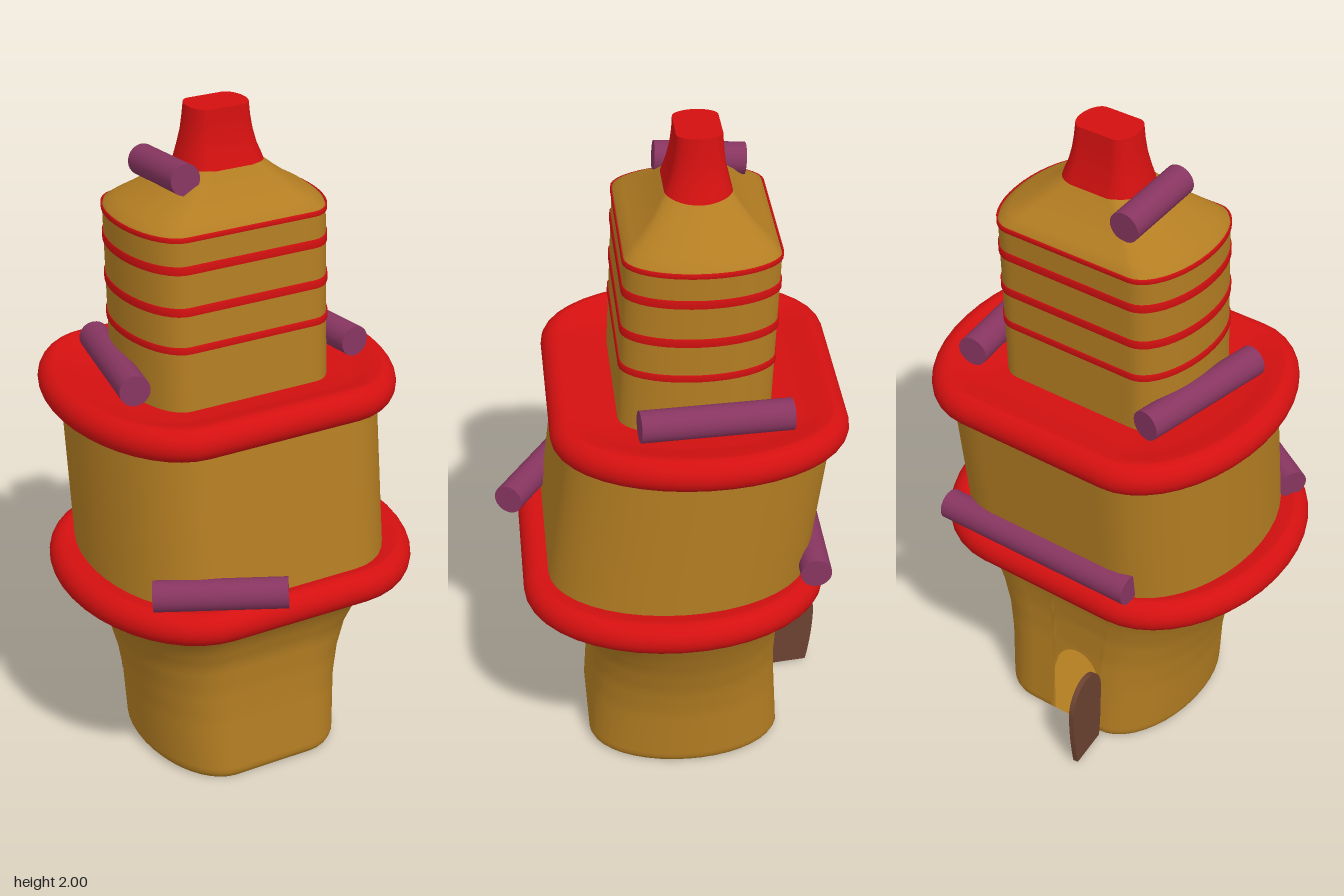
import * as THREE from 'three';

const mat = (color) => new THREE.MeshStandardMaterial({ color, side: THREE.DoubleSide });
const GOLD = mat(0xb37d22), RED = mat(0xd41010), PURPLE = mat(0x873560), BROWN = mat(0x6b4230);

// Section: [y, xMin, xMax, zFront, zBack, half length of the flat front and back]
// Column c: 0-1 right arc, 1-2 flat back, 2-3 left arc, 3-4 flat front
const COLUMNS = [];
for (let side = 0; side < 4; side++) for (let i = 0; i < 20; i++) COLUMNS.push(side + i / 20);

function pointOn([y, x0, x1, zf, zb, a], c) {
  const cx = (x0 + x1) / 2, cz = (zf + zb) / 2;
  const rx = (x1 - x0) / 2 - a, rz = (zf - zb) / 2;
  const side = Math.floor(c) % 4, f = c - Math.floor(c);
  if (side === 1) return [cx + a - 2 * a * f, y, zb];
  if (side === 3) return [cx - a + 2 * a * f, y, zf];
  const phi = Math.PI * (f - 0.5), s = side === 0 ? 1 : -1;
  return [cx + s * (a + rx * Math.cos(phi)), y, cz - s * rz * Math.sin(phi)];
}

const inset = ([y, x0, x1, zf, zb, a], d, newY = y) =>
  [newY, x0 + d, x1 - d, zf - d, zb + d, Math.max(0.01, Math.min(a, (x1 - x0) / 2 - d - 0.01))];

// Section at height y, interpolated between the listed ones
function sectionAt(list, y) {
  let i = 0;
  while (i < list.length - 2 && y > list[i + 1][0]) i++;
  const t = (y - list[i][0]) / (list[i + 1][0] - list[i][0]);
  return list[i].map((v, k) => v + (list[i + 1][k] - v) * t);
}

// Skin over rows of closed loops; pointAt(row, column) gives each vertex
function skin(name, material, rowCount, columns, pointAt) {
  const pos = [], idx = [], n = columns.length;
  for (let r = 0; r < rowCount; r++) for (const c of columns) pos.push(...pointAt(r, c));
  for (let r = 0; r < rowCount - 1; r++) {
    for (let j = 0; j < n; j++) {
      const p = r * n + j, q = r * n + (j + 1) % n;
      idx.push(p, q, q + n, p, q + n, p + n);
    }
  }
  const g = new THREE.BufferGeometry();
  g.setAttribute('position', new THREE.Float32BufferAttribute(pos, 3));
  g.setIndex(idx);
  g.computeVertexNormals();
  const m = new THREE.Mesh(g, material);
  m.name = name;
  return m;
}

const loft = (name, material, rows) =>
  skin(name, material, rows.length, COLUMNS, (r, c) => pointOn(rows[r], c));

// Flat end plate closing a section, facing up or down
function plate(name, material, s, up) {
  const center = [s[0], (s[1] + s[2]) / 2, (s[1] + s[2]) / 2, (s[3] + s[4]) / 2, (s[3] + s[4]) / 2, 0];
  return loft(name, material, up ? [s, center] : [center, s]);
}

// Cushion-like ledge with a round rim, dipping slightly toward the middle
function ledge(name, outline) {
  const rows = [], r = 0.05, y = outline[0];
  rows.push(inset(outline, 0.14, y - 0.03));
  for (let i = 0; i <= 16; i++) {
    const t = -Math.PI / 2 + Math.PI * i / 16;
    rows.push(inset(outline, r * (1 - Math.cos(t)), y + r * Math.sin(t)));
  }
  rows.push(inset(outline, 0.09, y + 0.04), inset(outline, 0.14, y + 0.025), inset(outline, 0.24, y + 0.02));
  return loft(name, RED, rows);
}

function log(name, from, to) {
  const a = new THREE.Vector3(...from), b = new THREE.Vector3(...to);
  const dir = b.clone().sub(a);
  const m = new THREE.Mesh(new THREE.CylinderGeometry(0.045, 0.045, dir.length(), 28), PURPLE);
  m.position.copy(a).add(b).multiplyScalar(0.5);
  m.quaternion.setFromUnitVectors(new THREE.Vector3(0, 1, 0), dir.normalize());
  m.name = name;
  return m;
}

export function createModel() {
  const model = new THREE.Group();
  model.name = 'tower';

  // Flared base, with an arched doorway left open in its back
  const base = [
    [0, -0.272, 0.302, 0.232, -0.322, 0.13], [0.015, -0.285, 0.315, 0.245, -0.335, 0.13],
    [0.2, -0.305, 0.325, 0.233, -0.325, 0.13], [0.3, -0.325, 0.342, 0.232, -0.32, 0.135],
    [0.4, -0.355, 0.372, 0.24, -0.322, 0.15], [0.48, -0.39, 0.405, 0.268, -0.332, 0.17],
    [0.54, -0.425, 0.435, 0.305, -0.345, 0.19], [0.62, -0.47, 0.475, 0.36, -0.365, 0.2],
  ];
  const doorway = (c) => {
    if (c < 1.3505 || c > 1.9995) return 0;
    const p = (c - 1.675) / 0.325;
    return 0.17 + 0.12 * Math.sqrt(Math.max(0, 1 - p * p));
  };
  const baseColumns = [...COLUMNS, 1.351, 1.999].sort((a, b) => a - b);
  model.add(skin('base', GOLD, 29, baseColumns, (r, c) => {
    const low = doorway(c);
    const y = low + (0.62 - low) * Math.pow(r / 28, 1.3);
    return pointOn(sectionAt(base, y), c);
  }));
  model.add(plate('baseFloor', GOLD, base[0], false));

  // Open door, hinged at the side of the doorway
  const shape = new THREE.Shape();
  shape.moveTo(0.015, 0);
  shape.lineTo(0.145, 0);
  shape.quadraticCurveTo(0.165, 0.1, 0.165, 0.2);
  shape.absellipse(0.0825, 0.2, 0.0825, 0.095, 0, Math.PI, false);
  shape.quadraticCurveTo(0, 0.1, 0.015, 0);
  const door = new THREE.Mesh(
    new THREE.ExtrudeGeometry(shape, { depth: 0.016, bevelEnabled: false, curveSegments: 20 }), BROWN);
  door.position.set(-0.125, 0.004, -0.325);
  door.rotation.y = Math.PI / 2 + 0.12;
  door.name = 'door';
  model.add(door);

  // Middle storey between two ledges
  model.add(ledge('lowerLedge', [0.64, -0.535, 0.53, 0.43, -0.445, 0.22]));
  model.add(loft('middleStorey', GOLD, [
    [0.62, -0.447, 0.44, 0.365, -0.39, 0.21], [1.2, -0.45, 0.44, 0.293, -0.46, 0.22],
  ]));
  model.add(ledge('upperLedge', [1.18, -0.515, 0.5, 0.34, -0.497, 0.24]));

  // Upper storey with stripes
  const upper = [[1.17, -0.31, 0.295, 0.15, -0.28, 0.2], [1.7, -0.315, 0.296, 0.127, -0.3, 0.2]];
  model.add(loft('upperStorey', GOLD, upper));
  for (const [y, h] of [[1.385, 0.02], [1.498, 0.024], [1.618, 0.024], [1.705, 0.014]]) {
    const edge = (dy, out) => inset(sectionAt(upper, y + dy * h), out);
    model.add(loft('stripe', RED, [edge(-0.5, 0), edge(-0.5, -0.004), edge(0.5, -0.004), edge(0.5, 0)]));
  }

  // Sloping shoulder and red cap
  model.add(loft('shoulder', GOLD, [
    [1.7, -0.315, 0.296, 0.127, -0.3, 0.2], [1.715, -0.31, 0.291, 0.123, -0.297, 0.2],
    [1.735, -0.278, 0.265, 0.1, -0.277, 0.18], [1.76, -0.228, 0.222, 0.07, -0.247, 0.15],
    [1.79, -0.178, 0.18, 0.042, -0.217, 0.12], [1.815, -0.142, 0.148, 0.02, -0.195, 0.09],
    [1.84, -0.115, 0.12, 0, -0.175, 0.06],
  ]));
  const cap = [
    [1.825, -0.125, 0.135, 0.008, -0.182, 0.06], [1.845, -0.121, 0.128, 0.001, -0.178, 0.06],
    [1.88, -0.111, 0.113, -0.011, -0.168, 0.058], [1.92, -0.101, 0.102, -0.02, -0.16, 0.055],
    [1.96, -0.095, 0.095, -0.025, -0.156, 0.053], [2, -0.09, 0.09, -0.027, -0.153, 0.053],
  ];
  model.add(loft('cap', RED, cap));
  model.add(plate('capTop', RED, cap[5], true));

  // Logs resting on the ledges and shoulder
  model.add(log('shoulderLog', [-0.153, 1.83, 0.015], [-0.153, 1.812, -0.24]));
  model.add(log('upperRightLog', [-0.358, 1.275, 0.09], [-0.28, 1.268, -0.32]));
  model.add(log('upperLeftLog', [0.352, 1.275, 0.1], [0.312, 1.265, -0.325]));
  model.add(log('frontLog', [-0.405, 0.725, 0.268], [-0.078, 0.742, 0.46]));
  model.add(log('backLog', [0.36, 0.738, -0.405], [-0.29, 0.738, -0.405]));
  return model;
}
